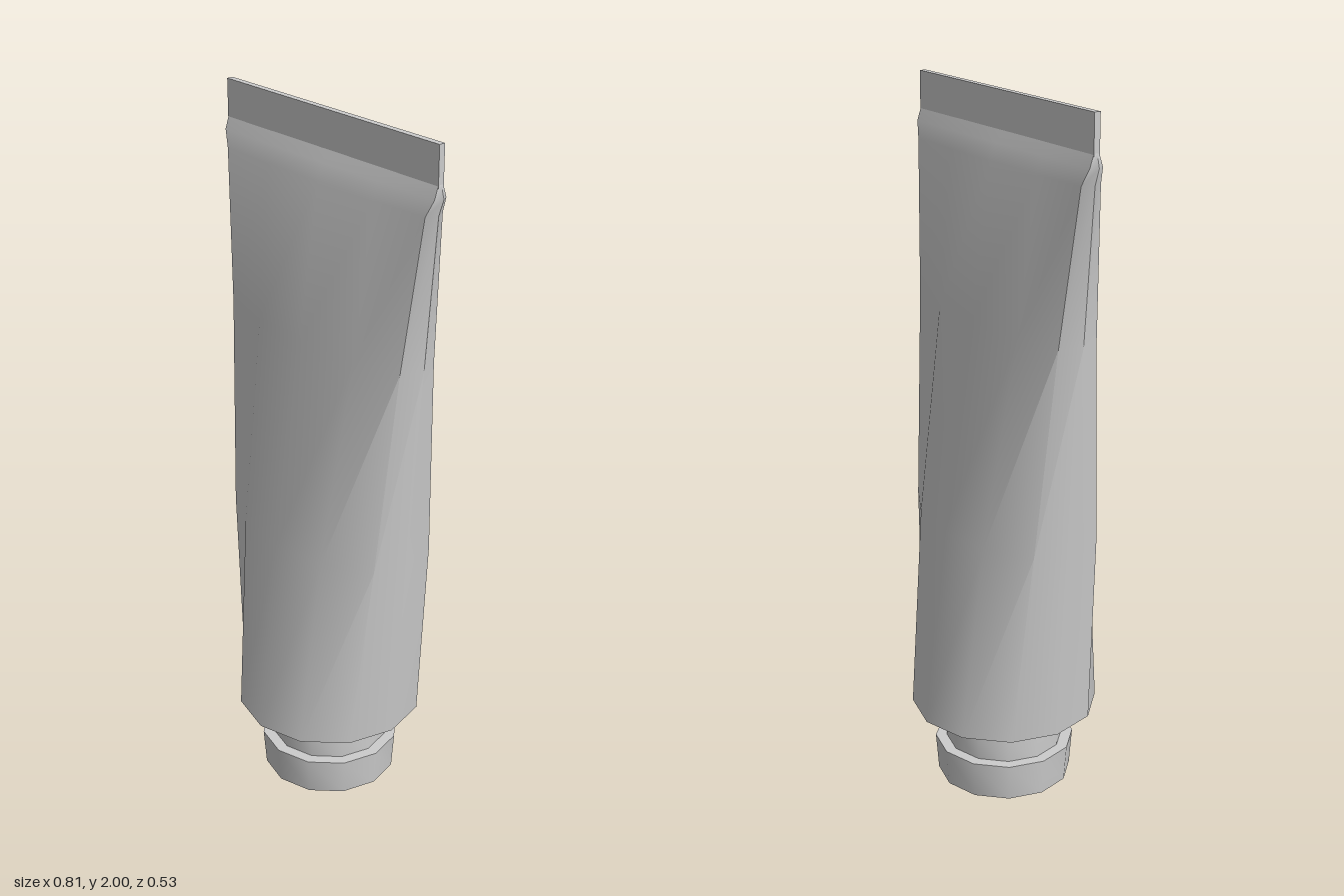
import * as THREE from 'three';
import { toCreasedNormals } from 'three/addons/utils/BufferGeometryUtils.js';

const SIDES = 12;
const material = new THREE.MeshStandardMaterial({ color: 0xcccccc });

function part(name, geometry, crease = 0.75) {
  const mesh = new THREE.Mesh(toCreasedNormals(geometry, crease), material);
  mesh.name = name;
  return mesh;
}

function lathe(profile) {
  return new THREE.LatheGeometry(profile.map(([r, y]) => new THREE.Vector2(r, y)), SIDES);
}

// Mirrors a quarter outline (four [x, z] points from side to front) into a full ring
function ring(y, q) {
  const half = [...q, ...q.slice(0, 3).reverse().map(([x, z]) => [-x, z])];
  const back = half.slice(1, 6).reverse().map(([x, z]) => [x, -z]);
  return [...half, ...back].map(([x, z]) => [x, y, z]);
}

// Skins rings of equal size, from bottom to top
function loft(rings) {
  const index = [];
  const n = rings[0].length;
  for (let i = 0; i < rings.length - 1; i++) {
    for (let j = 0; j < n; j++) {
      const a = i * n + j, b = i * n + (j + 1) % n;
      index.push(a, a + n, b, b, a + n, b + n);
    }
  }
  const g = new THREE.BufferGeometry();
  g.setAttribute('position', new THREE.Float32BufferAttribute(rings.flat(2), 3));
  g.setIndex(index);
  return g;
}

export function createModel() {
  const group = new THREE.Group();
  group.name = 'squeezeTube';

  // Body: round at the shoulder, flattening and widening to the seal
  group.add(part('tubeBody', loft([
    ring(0.25, [[0.265, 0], [0.23, 0.132], [0.132, 0.23], [0, 0.265]]),
    ring(0.82, [[0.31, 0], [0.29, 0.103], [0.158, 0.175], [0, 0.198]]),
    ring(1.4, [[0.355, 0], [0.33, 0.06], [0.187, 0.085], [0, 0.106]]),
    ring(1.82, [[0.39, 0], [0.374, 0.03], [0.2, 0.038], [0, 0.041]]),
    ring(1.865, [[0.406, 0], [0.394, 0.02], [0.2, 0.022], [0, 0.023]]),
    ring(1.9, [[0.396, 0], [0.394, 0.008], [0.2, 0.008], [0, 0.008]]),
  ])));

  // Flat crimped seal
  const seal = part('crimpedSeal', new THREE.BoxGeometry(0.79, 0.11, 0.018));
  seal.position.y = 1.945;
  group.add(seal);

  // Shoulder and neck
  group.add(part('shoulderAndNeck', lathe([[0.168, 0.12], [0.168, 0.198], [0.265, 0.25]])));

  // Cap with a shallow domed end
  group.add(part('cap', lathe([
    [0, 0], [0.08, 0.006], [0.192, 0.025], [0.2, 0.132], [0.16, 0.132],
  ])));

  return group;
}
